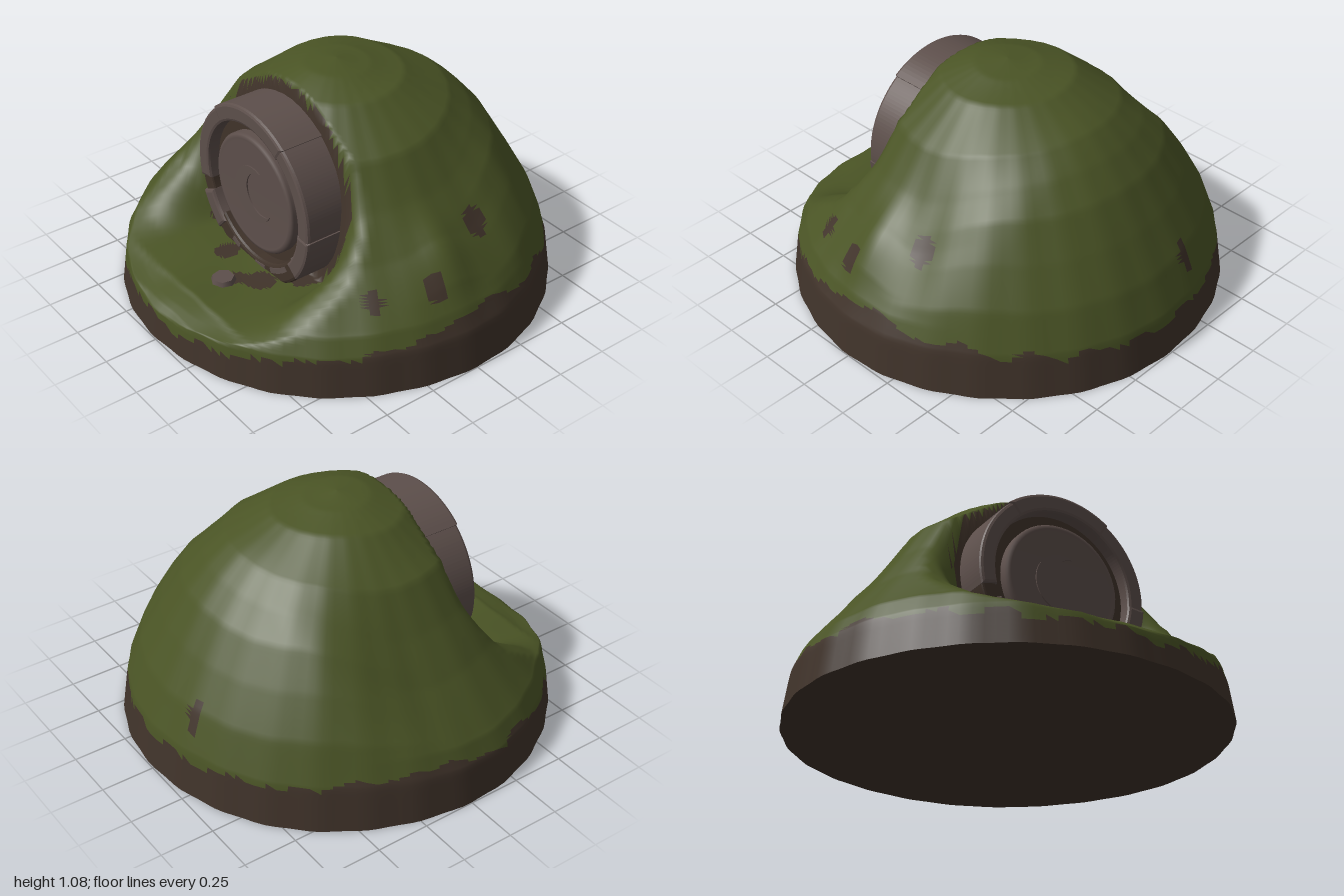
import * as THREE from 'three';

const moss = new THREE.MeshStandardMaterial({ color: 0x4a5425 });
moss.name = 'moss green';
const dirt = new THREE.MeshStandardMaterial({ color: 0x40332a });
dirt.name = 'dirt brown';
const stone = new THREE.MeshStandardMaterial({ color: 0x5d4f4b });
stone.name = 'weathered stone';

const { smoothstep, lerp } = THREE.MathUtils;
const CY = 0.548; // height of the round door's centre

// Straight-line lookup in a short list of [position, height] points
function along(points, p) {
  for (let i = 1; i < points.length; i++) {
    const [a, ya] = points[i - 1], [b, yb] = points[i];
    if (p <= b) return lerp(ya, yb, Math.max(0, (p - a) / (b - a)));
  }
  return points[points.length - 1][1];
}

const backProfile = [[0, 1.08], [0.15, 1.085], [0.3, 1.04], [0.5, 0.92], [0.6, 0.83],
  [0.7, 0.72], [0.8, 0.56], [0.9, 0.38], [0.97, 0.2], [1, 0]];
const sideProfile = [[0, 1.08], [0.15, 1.06], [0.3, 1.01], [0.5, 0.85], [0.62, 0.66],
  [0.75, 0.48], [0.93, 0.27], [0.975, 0.18], [1, 0]];
const shoulder = [[0.28, 0.63], [0.35, 0.54], [0.45, 0.42], [0.6, 0.33], [0.7, 0.26],
  [0.85, 0.19], [0.95, 0.16], [1, 0.12]];

// Slightly irregular outline of the base
const rim = a => 1 - 0.006 * (1 + Math.sin(a * 11 + 1) * Math.sin(a * 17));

const wobble = (x, y, z) =>
  Math.sin(x * 23 + z * 9) * 0.5 + Math.sin(z * 31 - y * 19 + x * 5) * 0.3 + Math.sin(x * 57 + y * 47) * 0.2;

// Mound height: a dome with a scooped front that leaves a steep door wall
function moundHeight(x, z, r) {
  const back = smoothstep(-z, 0, 0.55);
  let dome = lerp(along(sideProfile, r), along(backProfile, r), back);
  dome += 0.08 * Math.exp(-((x - 0.8) ** 2 + (z - 0.02) ** 2) / 0.018) * Math.min(1, (1 - r) * 8);
  const side = smoothstep(Math.abs(x), 0.34, 0.58);
  const apron = lerp(Math.min(0.2, along(shoulder, z)), along(shoulder, z), side);
  const cut = smoothstep(z, 0.25, lerp(0.33, 0.4, side));
  const y = lerp(dome, Math.min(dome, apron), cut);
  return y + 0.01 * Math.sin(x * 9 + 1) * Math.sin(z * 8) * Math.min(1, (1 - r) * 12);
}

// Bare earth patches seen from above: x, z, radius
const patches = [[0.72, -0.2, 0.04], [0.84, 0.12, 0.035], [0.75, 0.38, 0.03], [-0.2, -0.88, 0.03],
  [-0.12, 0.52, 0.05], [0.14, 0.53, 0.06], [0.05, 0.6, 0.04]];

function isDirt(x, y, z) {
  const a = Math.atan2(x, z), n = wobble(x, y, z);
  const skirt = 0.165 - 0.06 * Math.max(0, Math.cos(a)) + 0.09 * Math.max(0, Math.sin(a)) ** 2
    + 0.05 * Math.max(0, -Math.sin(a)) + 0.03 * n;
  if (y < skirt) return true;
  if (z > 0.25 && z < 0.44 && Math.hypot(x, y - 0.55) < 0.475 + 0.035 * n) return true;
  return patches.some(([px, pz, r]) => Math.hypot(x - px, z - pz) < r * (1 + 0.5 * n));
}

function makeMound() {
  const rings = 100, sides = 128, pos = [], mossIndex = [], dirtIndex = [];
  for (let i = 0; i <= rings; i++) {
    const r = 1 - (1 - i / rings) ** 1.5;
    for (let j = 0; j < sides; j++) {
      const a = j / sides * Math.PI * 2;
      const x = Math.sin(a) * r, z = Math.cos(a) * r;
      pos.push(x * rim(a), Math.max(0, moundHeight(x, z, r)), z * rim(a));
    }
  }
  // Sort each face into moss or bare earth by its middle
  const face = (...ids) => {
    const c = [0, 1, 2].map(k => ids.reduce((s, id) => s + pos[id * 3 + k], 0) / 3);
    (isDirt(...c) ? dirtIndex : mossIndex).push(...ids);
  };
  for (let i = 0; i < rings; i++) {
    for (let j = 0; j < sides; j++) {
      const k = (j + 1) % sides;
      const a = i * sides + j, b = i * sides + k, c = a + sides, d = b + sides;
      face(a, c, d);
      if (i > 0) face(a, d, b);
    }
  }
  const geo = new THREE.BufferGeometry();
  geo.setAttribute('position', new THREE.Float32BufferAttribute(pos, 3));
  geo.setIndex([...mossIndex, ...dirtIndex]);
  geo.addGroup(0, mossIndex.length, 0);
  geo.addGroup(mossIndex.length, dirtIndex.length, 1);
  geo.computeVertexNormals();
  return new THREE.Mesh(geo, [moss, dirt]);
}

// Curved block of the door surround, angles in degrees
function arcBlock(from, to, inner, outer, depth, bevel) {
  const a = THREE.MathUtils.degToRad(from), b = THREE.MathUtils.degToRad(to);
  const s = new THREE.Shape();
  s.absarc(0, 0, outer - bevel, a, b, false);
  s.absarc(0, 0, inner + bevel, b, a, true);
  return new THREE.ExtrudeGeometry(s, {
    depth: depth - 2 * bevel, curveSegments: 14, bevelEnabled: bevel > 0,
    bevelSize: bevel, bevelThickness: bevel, bevelSegments: 2,
  }).translate(0, 0, bevel);
}

export function createModel() {
  const model = new THREE.Group();
  const add = (parent, name, geo, mat, x = 0, y = 0, z = 0) => {
    const mesh = new THREE.Mesh(geo, mat);
    mesh.name = name;
    mesh.position.set(x, y, z);
    parent.add(mesh);
    return mesh;
  };

  const mound = makeMound();
  mound.name = 'mound';
  model.add(mound);

  // Flat underside following the rim
  const under = new THREE.CircleGeometry(1, 128).rotateX(Math.PI / 2);
  const p = under.attributes.position;
  for (let i = 1; i < p.count; i++) {
    const k = rim(Math.atan2(p.getX(i), p.getZ(i)));
    p.setXYZ(i, p.getX(i) * k, 0, p.getZ(i) * k);
  }
  add(model, 'underside', under, dirt);

  const door = new THREE.Group();
  door.name = 'roundDoor';
  door.position.set(0, CY, 0);
  model.add(door);

  // Recessed earth backing between surround and door
  add(door, 'doorBacking', new THREE.CylinderGeometry(0.37, 0.37, 0.18, 48).rotateX(Math.PI / 2), dirt, 0, 0, 0.32);

  // Stone surround, its lowest stretch covered in earth
  const blocks = [[-38, -6], [-6, 57], [57, 128], [128, 192], [206, 228]];
  blocks.forEach(([from, to], i) =>
    add(door, 'surroundBlock' + (i + 1), arcBlock(from, to, 0.34, 0.423 - (i % 2) * 0.006, 0.235, 0.014),
      stone, 0, 0, 0.24 - (i % 2) * 0.004));
  add(door, 'buriedSurround', arcBlock(226, 324, 0.33, 0.42, 0.225, 0.014), dirt, 0, 0, 0.24);
  add(door, 'surroundGap', arcBlock(190, 208, 0.345, 0.415, 0.22, 0.01), dirt, 0, 0, 0.24);
  [[243, 252], [272, 284], [291, 313]].forEach(([from, to]) =>
    add(door, 'exposedChip', arcBlock(from, to, 0.345, 0.37, 0.006, 0), stone, 0, 0, 0.463));

  // Round door slab with a softened edge
  const slab = [[0.285, 0.3], [0.285, 0.445], [0.278, 0.456], [0.262, 0.46], [0.252, 0.454], [0, 0.454]]
    .map(([r, h]) => new THREE.Vector2(r, h));
  add(door, 'doorSlab', new THREE.LatheGeometry(slab, 56).rotateX(Math.PI / 2), stone);

  // Crescent relief
  const crescent = new THREE.Shape();
  const phi = 0.84, psi = 1.281;
  crescent.absarc(0, 0, 0.135, phi, Math.PI * 2 - phi, false);
  crescent.absarc(0.06, 0, 0.105, Math.PI * 2 - psi, psi, true);
  const relief = new THREE.ExtrudeGeometry(crescent, { depth: 0.008, bevelEnabled: false, curveSegments: 28 });
  add(door, 'crescentRelief', relief.rotateZ(0.35), stone, 0, 0, 0.452);

  // Flat pebble on the front apron
  add(model, 'pebble', new THREE.CylinderGeometry(0.05, 0.06, 0.03, 7), stone, 0.04, 0.2, 0.66);

  return model;
}
